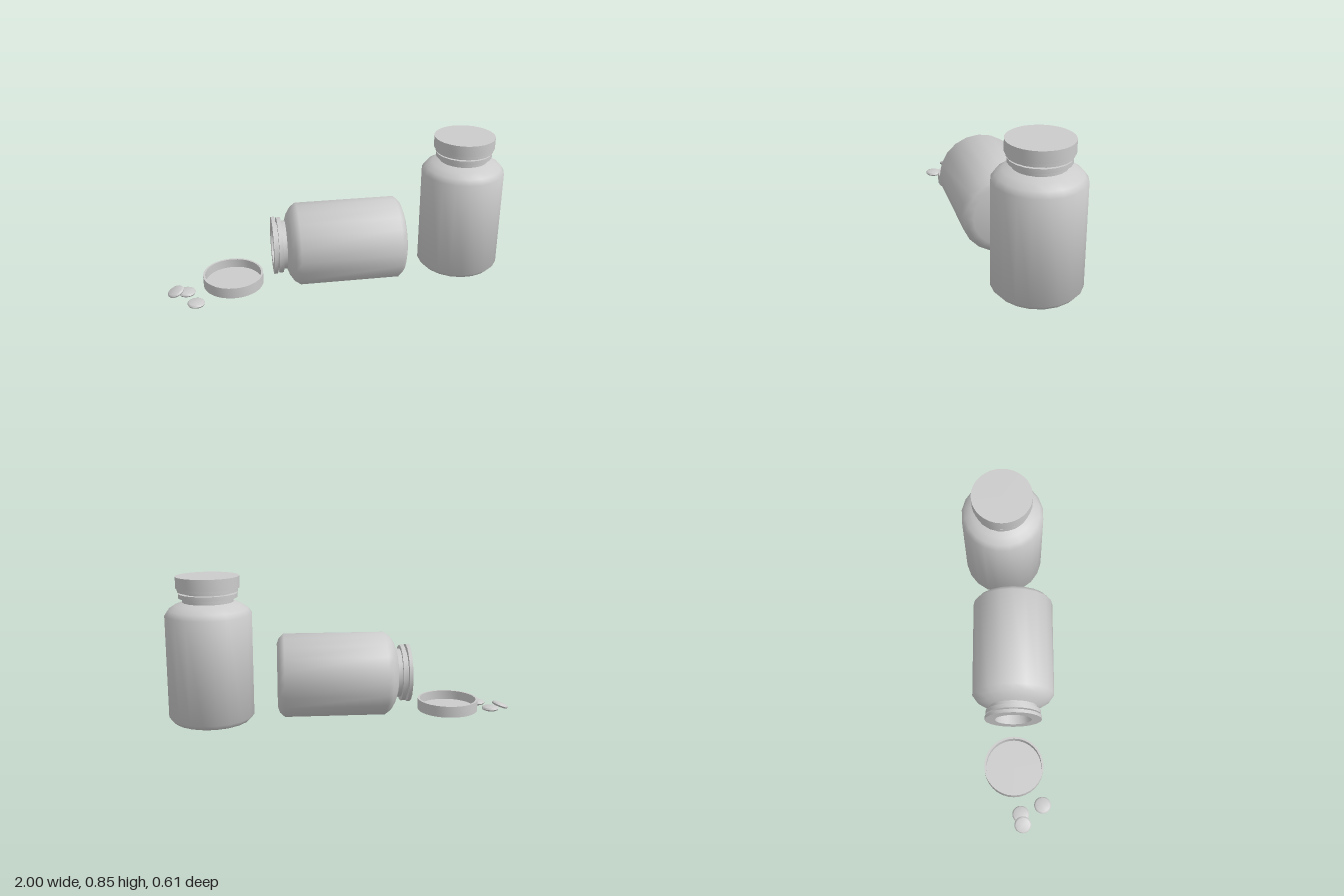
import * as THREE from 'three';
import { toCreasedNormals } from 'three/addons/utils/BufferGeometryUtils.js';

const material = new THREE.MeshStandardMaterial({ color: 0xcccccc });

// Revolve a closed [radius, height] profile, keeping hard edges sharp
function revolve(profile, segments) {
  const points = profile.map(([r, y]) => new THREE.Vector2(r, y));
  return toCreasedNormals(new THREE.LatheGeometry(points, segments), 0.8);
}

const bottleGeometry = revolve([
  // base and body
  [0, 0], [0.183, 0], [0.217, 0.012], [0.242, 0.04], [0.242, 0.62],
  // shoulder
  [0.221, 0.65], [0.183, 0.675], [0.142, 0.69],
  // neck, ring and mouth flange
  [0.142, 0.714], [0.163, 0.714], [0.163, 0.738], [0.135, 0.738],
  [0.135, 0.748], [0.168, 0.748], [0.168, 0.768], [0.108, 0.768],
  // hollow inside
  [0.108, 0.68], [0.175, 0.66], [0.225, 0.615], [0.225, 0.045], [0.18, 0.018], [0, 0.018],
], 20);

// Cap with its opening upwards
const capGeometry = revolve([
  [0, 0], [0.176, 0], [0.176, 0.065], [0.164, 0.065], [0.164, 0.012], [0, 0.012],
], 32);

// Tablet with rounded edges, centred on its middle
const pillGeometry = revolve([
  [0, -0.01], [0.041, -0.01], [0.047, -0.007], [0.05, 0],
  [0.047, 0.007], [0.041, 0.01], [0, 0.01],
], 24);

export function createModel() {
  const model = new THREE.Group();

  const add = (name, geometry, position, rotation = [0, 0, 0]) => {
    const mesh = new THREE.Mesh(geometry, material);
    mesh.name = name;
    mesh.position.set(...position);
    mesh.rotation.set(...rotation);
    model.add(mesh);
  };

  // Closed bottle
  add('standingBottle', bottleGeometry, [0.756, 0.015, 0.06]);
  add('fittedCap', capGeometry, [0.756, 0.848, 0.06], [Math.PI, 0, 0]);

  // Open bottle on its side, with its cap beside it
  add('lyingBottle', bottleGeometry, [0.377, 0.257, 0.05], [0, -0.183, Math.PI / 2]);
  add('looseCap', capGeometry, [-0.612, 0.027, -0.131]);

  // Spilled pills, one leaning on another
  add('pillFront', pillGeometry, [-0.86, 0.012, -0.005]);
  add('pillBack', pillGeometry, [-0.888, 0.012, -0.142]);
  add('pillLeaning', pillGeometry, [-0.952, 0.028, -0.142], [0, 0, 0.36]);

  return model;
}
